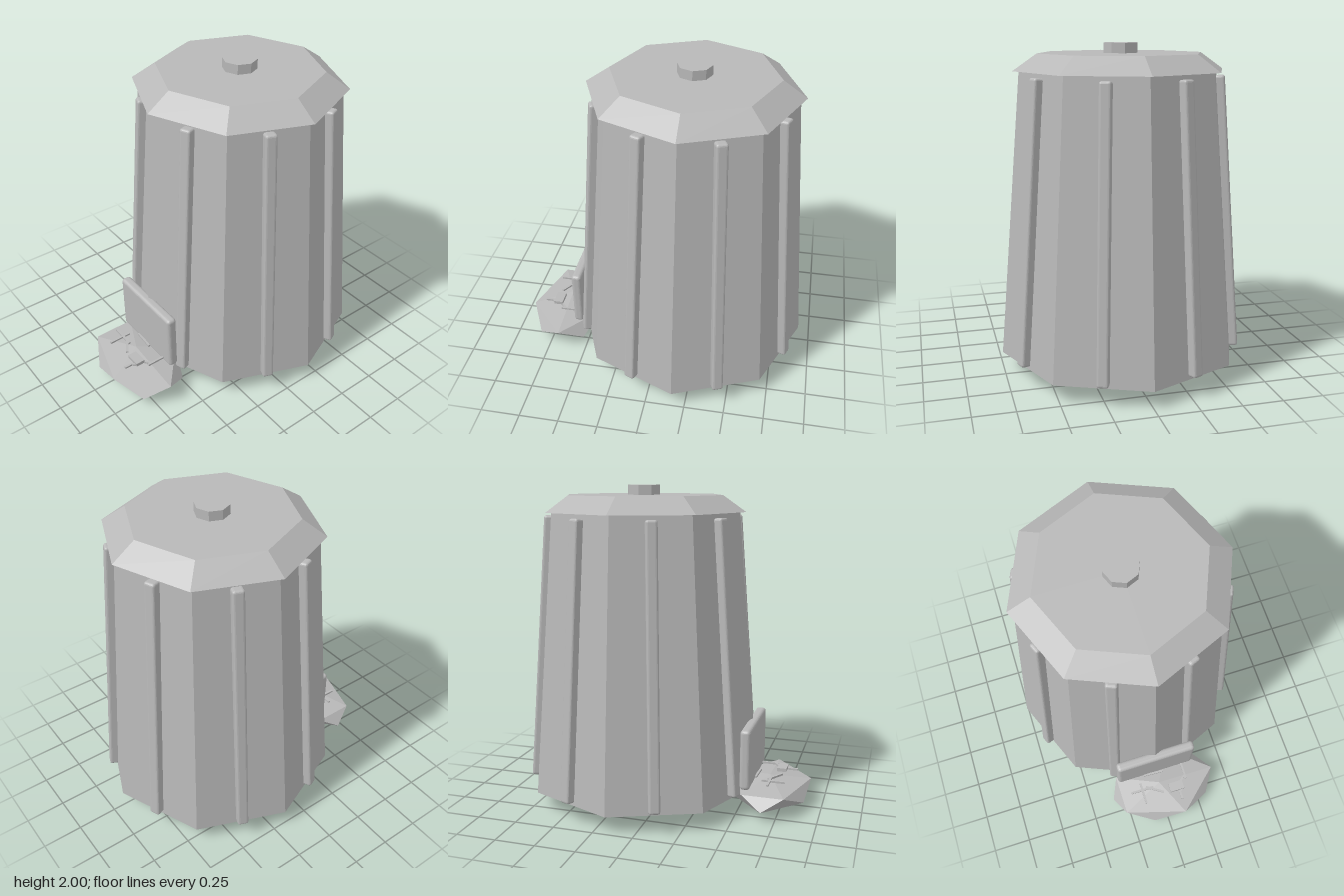
import * as THREE from 'three';
import { RoundedBoxGeometry } from 'three/addons/geometries/RoundedBoxGeometry.js';
import { ConvexGeometry } from 'three/addons/geometries/ConvexGeometry.js';

export function createModel() {
  const model = new THREE.Group();
  const grey = new THREE.MeshStandardMaterial({ color: 0xb8b8b8, flatShading: true });
  grey.name = 'plain grey';

  const add = (name, geometry, x, y, z, parent = model) => {
    const mesh = new THREE.Mesh(geometry, grey);
    mesh.name = name;
    mesh.position.set(x, y, z);
    parent.add(mesh);
    return mesh;
  };

  // Eight-sided tapered bin with chamfered lid and knob
  const bin = new THREE.Group();
  bin.name = 'bin';
  bin.position.z = -0.168;
  model.add(bin);
  const prism = (name, rTop, rBottom, y0, y1) =>
    add(name, new THREE.CylinderGeometry(rTop, rBottom, y1 - y0, 8), 0, (y0 + y1) / 2, 0, bin);
  prism('body', 0.612, 0.756, 0.11, 1.84);
  prism('lid', 0.505, 0.65, 1.84, 1.94);
  prism('knob', 0.105, 0.105, 1.94, 2.0);

  // One leaning rib down the middle of every face
  const ribGeometry = new RoundedBoxGeometry(0.07, 1.69, 0.106, 2, 0.015);
  for (let i = 0; i < 8; i++) {
    const ribs = new THREE.Group();
    ribs.name = 'ribMount';
    ribs.rotation.y = Math.PI / 8 + (i * Math.PI) / 4;
    bin.add(ribs);
    add('rib', ribGeometry, 0, 0.97, 0.631, ribs).rotation.x = -0.077;
  }

  // Rounded plate at the foot of the front
  add('frontPlate', new RoundedBoxGeometry(0.545, 0.38, 0.064, 3, 0.022), 0, 0.36, 0.556);

  // Faceted flat stone: two poles and two staggered rings of five
  const stone = [
    [0, 0.19, 0.67], [0, 0, 0.68],
    [0.395, 0.148, 0.67], [0.12, 0.145, 0.917], [-0.28, 0.145, 0.8], [-0.28, 0.145, 0.54], [0.12, 0.145, 0.44],
    [-0.34, 0.067, 0.67], [-0.1, 0.065, 0.9], [0.31, 0.062, 0.82], [0.31, 0.062, 0.52], [-0.1, 0.065, 0.45],
  ].map((p) => new THREE.Vector3(...p));
  add('stone', new ConvexGeometry(stone), 0, 0, 0);

  // Thin twigs lying on the stone, each from (x1, z1) to (x2, z2)
  const twigs = [
    [-0.13, 0.64, -0.13, 0.785], [-0.21, 0.687, -0.05, 0.69], [-0.1, 0.675, 0.01, 0.745],
    [0.15, 0.705, 0.19, 0.675], [0.19, 0.7, 0.19, 0.58], [-0.09, 0.592, 0.05, 0.6],
    [0.14, 0.76, 0.12, 0.78], [0.12, 0.77, 0.12, 0.83],
  ];
  for (const [x1, z1, x2, z2] of twigs) {
    const length = Math.hypot(x2 - x1, z2 - z1);
    const twig = add('twig', new THREE.BoxGeometry(length, 0.012, 0.014), (x1 + x2) / 2, 0.194, (z1 + z2) / 2);
    twig.rotation.y = -Math.atan2(z2 - z1, x2 - x1);
  }
  add('chip', new THREE.BoxGeometry(0.1, 0.022, 0.06), 0.106, 0.203, 0.735);

  return model;
}
